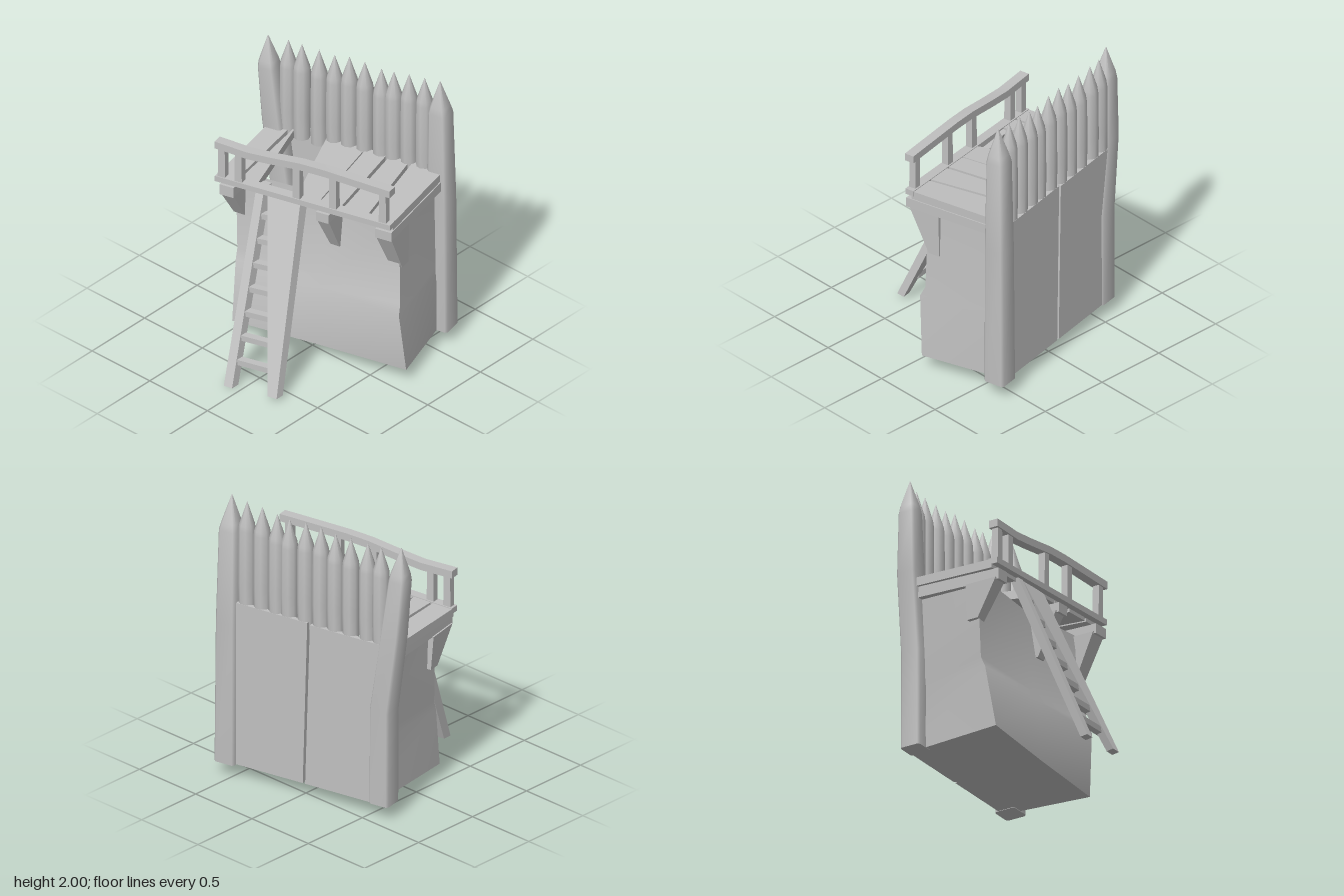
import * as THREE from 'three';
import { toCreasedNormals } from 'three/addons/utils/BufferGeometryUtils.js';

const grey = new THREE.MeshStandardMaterial({ color: 0xc0c0c0 });

// Skins a series of [x, y, z] rings; optional closed rings and end cap
function loft(rings, { crease = 0.4, capEnd = true, closed = true } = {}) {
  const n = rings[0].length, pos = rings.flat(2), index = [];
  for (let r = 0; r < rings.length - 1; r++) {
    for (let i = 0; i < (closed ? n : n - 1); i++) {
      const a = r * n + i, b = r * n + (i + 1) % n;
      index.push(a, b, b + n, a, b + n, a + n);
    }
  }
  const last = (rings.length - 1) * n;
  for (let i = 1; i < n - 1; i++) {
    index.push(0, i + 1, i);
    if (capEnd) index.push(last, last + i, last + i + 1);
  }
  const g = new THREE.BufferGeometry();
  g.setAttribute('position', new THREE.Float32BufferAttribute(pos, 3));
  g.setIndex(index);
  return toCreasedNormals(g, crease);
}

function add(parent, name, geometry) {
  const mesh = new THREE.Mesh(geometry, grey);
  mesh.name = name;
  parent.add(mesh);
  return mesh;
}

// Horizontal four-corner ring, counter-clockwise from above
const quad = (x0, x1, y, z0, z1) => [[x0, y, z1], [x1, y, z1], [x1, y, z0], [x0, y, z0]];

// Square ring with cut corners
function post(x, y, z, s, c = 0.015) {
  const k = s - c;
  return [[-k, s], [k, s], [s, k], [s, -k], [k, -s], [-k, -s], [-s, -k], [-s, k]]
    .map(([dx, dz]) => [x + dx, y, z + dz]);
}

// Height of the sloping deck
const deckY = (x, z) => 1.27 + 0.05 * x - 0.03 * z;
const drop = (ring, d) => ring.map(([x, , z]) => [x, deckY(x, z) - d, z]);

export function createModel() {
  const root = new THREE.Group();
  root.name = 'watchPost';
  const fort = new THREE.Group();
  fort.name = 'fort';
  fort.rotation.y = 0.21;
  root.add(fort);

  // Earth base: leaning, slightly hollowed front and two sides, open at the top
  const levels = [ // y, frontLeft x z, frontMiddle z, frontRight x z, backRight x, backLeft x, back y
    [0.1, -0.51, 0.147, 0.1, 0.733, 0.064, 0.66, -0.46, 0.1],
    [0.53, -0.526, 0.075, 0.075, 0.7, 0.1, 0.66, -0.46, 0.53],
    [0.6, -0.531, 0.046, 0.045, 0.69, 0.066, 0.66, -0.47, 0.6],
    [1.19, -0.549, 0.032, -0.02, 0.674, 0.051, 0.65, -0.53, 1.24],
  ];
  add(fort, 'base', loft(levels.map(([y, lx, lz, mz, rx, rz, bx, ax, by]) => [
    [ax, by, -0.535], [lx, y, lz], [0.1, y, mz], [rx, y, rz], [bx, by, -0.535],
  ]), { capEnd: false, closed: false, crease: 0.6 }));

  // Back wall in two panels with a narrow slanting gap
  add(fort, 'backWallRight', loft([
    quad(0.092, 0.66, 0.1, -0.548, -0.51), quad(0.062, 0.65, 1.26, -0.542, -0.51),
  ]));
  add(fort, 'backWallLeft', loft([
    quad(-0.46, 0.074, 0.1, -0.548, -0.51), quad(-0.53, 0.042, 1.25, -0.542, -0.51),
  ]));

  // Corner posts, pointed at the top
  add(fort, 'rightPost', loft([
    post(0.672, 0.097, -0.502, 0.076), post(0.67, 1.1, -0.497, 0.073),
    post(0.665, 1.76, -0.492, 0.064), post(0.665, 1.81, -0.489, 0.054),
    post(0.665, 2, -0.484, 0.002, 0.001),
  ], { crease: 0.9 }));
  add(fort, 'leftPost', loft([
    post(-0.48, 0.097, -0.485, 0.073), post(-0.482, 0.77, -0.483, 0.073),
    post(-0.55, 1.3, -0.475, 0.07), post(-0.586, 1.71, -0.456, 0.06),
    post(-0.588, 1.76, -0.455, 0.053), post(-0.594, 1.94, -0.453, 0.002, 0.001),
  ], { crease: 0.9 }));

  // Palisade of round pointed stakes
  const stakes = [[-0.463, 1.93], [-0.363, 1.93], [-0.235, 1.93], [-0.12, 1.93], [-0.01, 1.955],
    [0.104, 1.955], [0.228, 1.945], [0.32, 1.955], [0.433, 1.975], [0.548, 1.985]];
  stakes.forEach(([x, tip]) => {
    const profile = [[0, 1.21], [0.055, 1.21], [0.059, 1.4], [0.057, tip - 0.2], [0.052, tip - 0.165], [0, tip]]
      .map(([r, y]) => new THREE.Vector2(r, y));
    const stake = add(fort, 'stake', toCreasedNormals(new THREE.LatheGeometry(profile, 9), 0.9));
    stake.position.set(x, 0, -0.488);
  });

  // Deck planks: back left, back right, front left, front right
  [[-0.588, -0.441, -0.6, -0.458], [-0.414, -0.408, -0.441, -0.31], [-0.172, 0.116, -0.017, 0.147],
    [0.124, 0.276, 0.155, 0.305], [0.301, 0.445, 0.325, 0.506], [0.469, 0.697, 0.524, 0.698],
  ].forEach(([b0, b1, f0, f1]) => {
    const ring = [[f0, 0, 0.17], [f1, 0, 0.17], [b1, 0, -0.48], [b0, 0, -0.48]];
    add(fort, 'plank', loft([drop(ring, 0.06), drop(ring, 0)]));
  });
  const edge = quad(-0.6, 0.7, 0, 0.15, 0.215);
  add(fort, 'deckEdge', loft([drop(edge, 0.035), drop(edge, -0.005)]));

  // Beams carrying the deck, each with a solid slanting brace
  [[-0.57, -0.467, 0.075], [0.145, 0.24, 0.066], [0.585, 0.705, 0.066]].forEach(([x0, x1, h]) => {
    const ring = quad(x0, x1, 0, -0.46, 0.205);
    add(fort, 'beam', loft([drop(ring, 0.06 + h), drop(ring, 0.058)]));
    const top = deckY(x0, 0.15) - 0.06 - h + 0.01;
    add(fort, 'brace', loft([
      quad(x0 + 0.01, x1 - 0.015, 0.87, -0.04, 0.04),
      quad(x0 - 0.01, x1 - 0.01, top, -0.04, 0.19),
    ]));
  });

  // Handrail with a gentle bend, on five uprights
  const railPath = [[-0.6, 1.482], [-0.36, 1.48], [-0.2, 1.498], [0.03, 1.53], [0.2, 1.54], [0.62, 1.544], [0.7, 1.544]];
  add(fort, 'handrail', loft(railPath.map(([x, y]) => [
    [x, y - 0.026, 0.218], [x, y - 0.026, 0.152], [x, y + 0.026, 0.152], [x, y + 0.026, 0.218],
  ])));
  [-0.555, -0.43, 0, 0.27, 0.64].forEach((x) => {
    const top = x < -0.3 ? 1.47 : 1.53;
    add(fort, 'railUpright', loft([
      quad(x - 0.027, x + 0.027, deckY(x, 0.15) - 0.02, 0.16, 0.208),
      quad(x - 0.025, x + 0.025, top, 0.162, 0.208),
    ]));
  });

  // Ladder: narrow left rail, wide tapering right board, short rungs
  const ladder = new THREE.Group();
  ladder.name = 'ladder';
  root.add(ladder);
  const skew = (x0, x1, y, z, t) => quad(x0, x1, y, z - t, z + t)
    .map(([x, yy, zz]) => [x, yy, zz - 0.21 * (x - (x0 + x1) / 2)]);
  add(ladder, 'leftRail', loft([
    skew(-0.112, -0.052, 0, 0.685, 0.03), skew(-0.268, -0.212, 1.245, 0.195, 0.035),
  ]));
  add(ladder, 'rightBoard', loft([
    skew(0.2, 0.265, 0.025, 0.61, 0.03), skew(-0.19, 0.05, 1.225, 0.16, 0.035),
  ]));
  for (let i = 0; i < 7; i++) {
    const y = 0.16 + 0.15 * i, up = y / 1.245;
    const a = [-0.075 - 0.16 * up, 0.68 - 0.49 * up];
    const b = [0.225 - 0.37 * up, 0.61 - 0.45 * up];
    add(ladder, 'rung', loft([-0.02, 0.02].map((d) => [
      [a[0], y + d - 0.005, a[1] + 0.025], [b[0], y + d + 0.008, b[1] + 0.025],
      [b[0], y + d + 0.008, b[1] - 0.025], [a[0], y + d - 0.005, a[1] - 0.025],
    ])));
  }
  return root;
}
